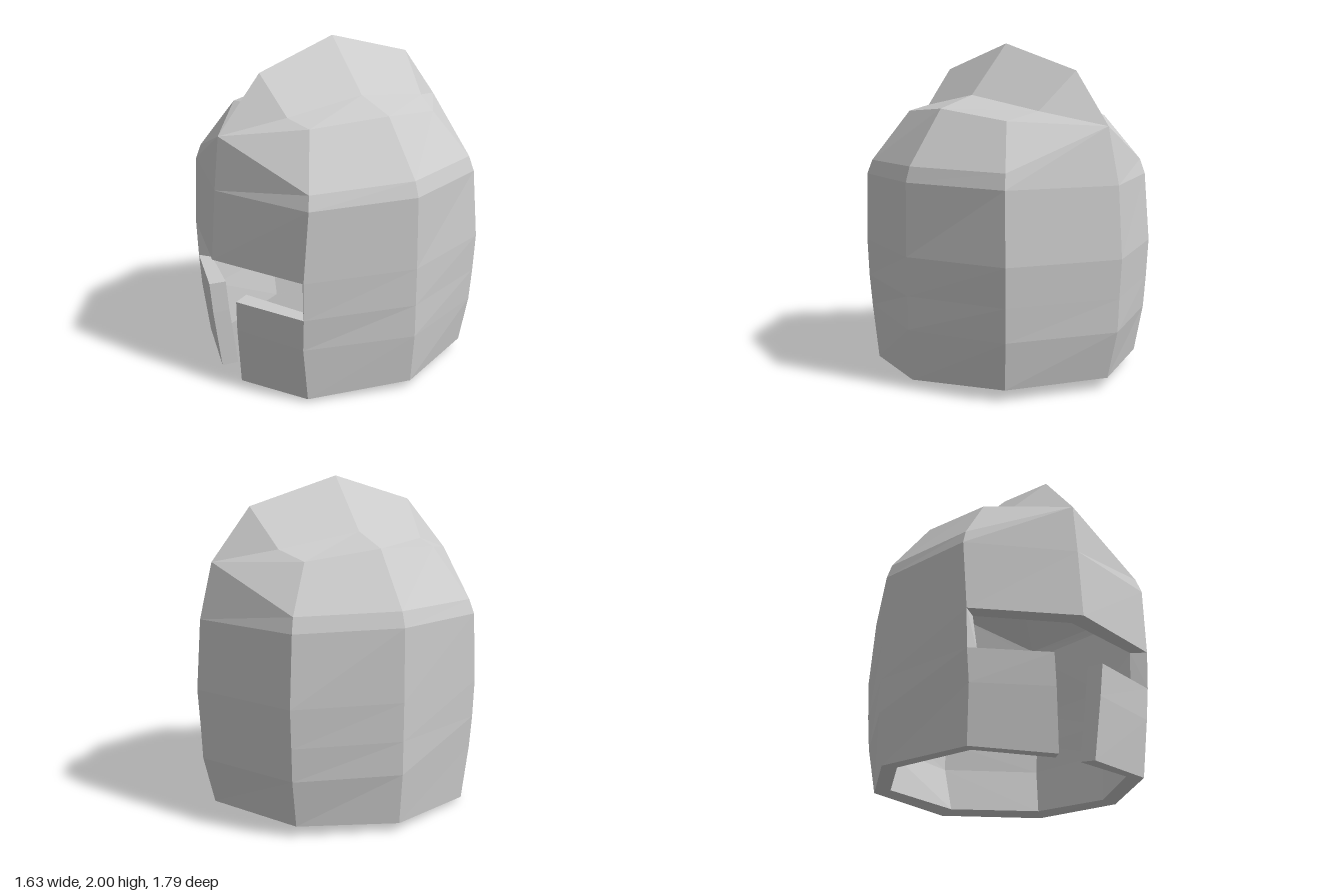
import * as THREE from 'three';

const THICKNESS = 0.1;

// Half of the helmet as rows from the rim up to the crest ridge.
// Columns: front centre (or face plate edge), front corner, side, back corner, back centre.
const ROWS = [
  [[0.113, 0, 0.795], [0.56, 0.02, 0.62], [0.78, 0.045, 0.03], [0.585, 0.065, -0.54], [0, 0.065, -0.8]],
  [[0.14, 0.36, 0.83], [0.575, 0.355, 0.66], [0.81, 0.35, 0.03], [0.62, 0.35, -0.58], [0, 0.35, -0.87]],
  [[0.155, 0.55, 0.84], [0.592, 0.55, 0.665], [0.812, 0.55, 0.03], [0.632, 0.55, -0.59], [0, 0.55, -0.88]],
  [[0, 0.78, 0.9], [0.6, 0.78, 0.67], [0.814, 0.78, 0.03], [0.64, 0.78, -0.6], [0, 0.78, -0.895]],
  [[0, 1.2, 0.865], [0.613, 1.2, 0.64], [0.81, 1.21, 0.03], [0.62, 1.2, -0.575], [0, 1.2, -0.865]],
  [[0, 1.515, 0.83], [0.588, 1.285, 0.62], [0.78, 1.3, 0.03], [0.595, 1.29, -0.555], [0, 1.53, -0.785]],
  [[0, 1.515, 0.83], [0.4, 1.587, 0.48], [0.54, 1.62, 0.03], [0.43, 1.56, -0.4], [0, 1.53, -0.785]],
  [[0, 1.515, 0.83], [0.22, 1.618, 0.505], [0.29, 1.693, 0.03], [0.24, 1.612, -0.47], [0, 1.53, -0.785]],
  [[0, 1.515, 0.83], [0, 1.84, 0.545], [0, 2, 0.03], [0, 1.84, -0.54], [0, 1.53, -0.785]],
];
const EYE_SLOT_ROW = 2;

// Builds the welded, mirrored outer surface.
function buildSurface() {
  const points = [], tris = [], lookup = new Map();
  const vertex = (p, side) => {
    const q = [p[0] * side, p[1], p[2]];
    const key = q.map((v) => Math.round(v * 1000)).join();
    if (!lookup.has(key)) {
      lookup.set(key, points.length);
      points.push(new THREE.Vector3(...q));
    }
    return lookup.get(key);
  };
  const addTri = (a, b, c) => {
    if (a !== b && b !== c && c !== a) tris.push([a, b, c]);
  };
  for (const side of [1, -1]) {
    for (let j = 0; j < ROWS.length - 1; j++) {
      for (let i = 0; i < 4; i++) {
        if (i === 0 && j === EYE_SLOT_ROW) continue;
        const quad = [ROWS[j][i], ROWS[j][i + 1], ROWS[j + 1][i + 1], ROWS[j + 1][i]].map((p) => vertex(p, side));
        if (side < 0) quad.reverse();
        const [a, b, c, d] = quad;
        addTri(a, b, c);
        addTri(a, c, d);
      }
    }
  }
  return { points, tris };
}

// Moves every point inward along its averaged normal.
function offsetInward(points, tris) {
  const geometry = new THREE.BufferGeometry().setFromPoints(points);
  geometry.setIndex(tris.flat());
  geometry.computeVertexNormals();
  const normal = new THREE.Vector3();
  return points.map((p, i) =>
    p.clone().addScaledVector(normal.fromBufferAttribute(geometry.attributes.normal, i), -THICKNESS));
}

function flatMesh(name, triangles, material) {
  const geometry = new THREE.BufferGeometry().setFromPoints(triangles.flat());
  geometry.computeVertexNormals();
  const mesh = new THREE.Mesh(geometry, material);
  mesh.name = name;
  return mesh;
}

export function createModel() {
  const steel = new THREE.MeshStandardMaterial({ color: 0xcccccc, flatShading: true });
  steel.name = 'steel grey';

  const { points, tris } = buildSurface();
  const inner = offsetInward(points, tris);

  // Edges used only once border the eye slot, the mouth gap and the neck opening.
  const edges = new Set(tris.flatMap(([a, b, c]) => [`${a}_${b}`, `${b}_${c}`, `${c}_${a}`]));
  const rim = [];
  for (const edge of edges) {
    const [a, b] = edge.split('_').map(Number);
    if (edges.has(`${b}_${a}`)) continue;
    rim.push([points[b], points[a], inner[a]], [points[b], inner[a], inner[b]]);
  }

  const helmet = new THREE.Group();
  helmet.name = 'helmet';
  helmet.add(
    flatMesh('outerShell', tris.map((t) => t.map((i) => points[i])), steel),
    flatMesh('innerShell', tris.map(([a, b, c]) => [inner[c], inner[b], inner[a]]), steel),
    flatMesh('openingRims', rim, steel),
  );
  return helmet;
}
